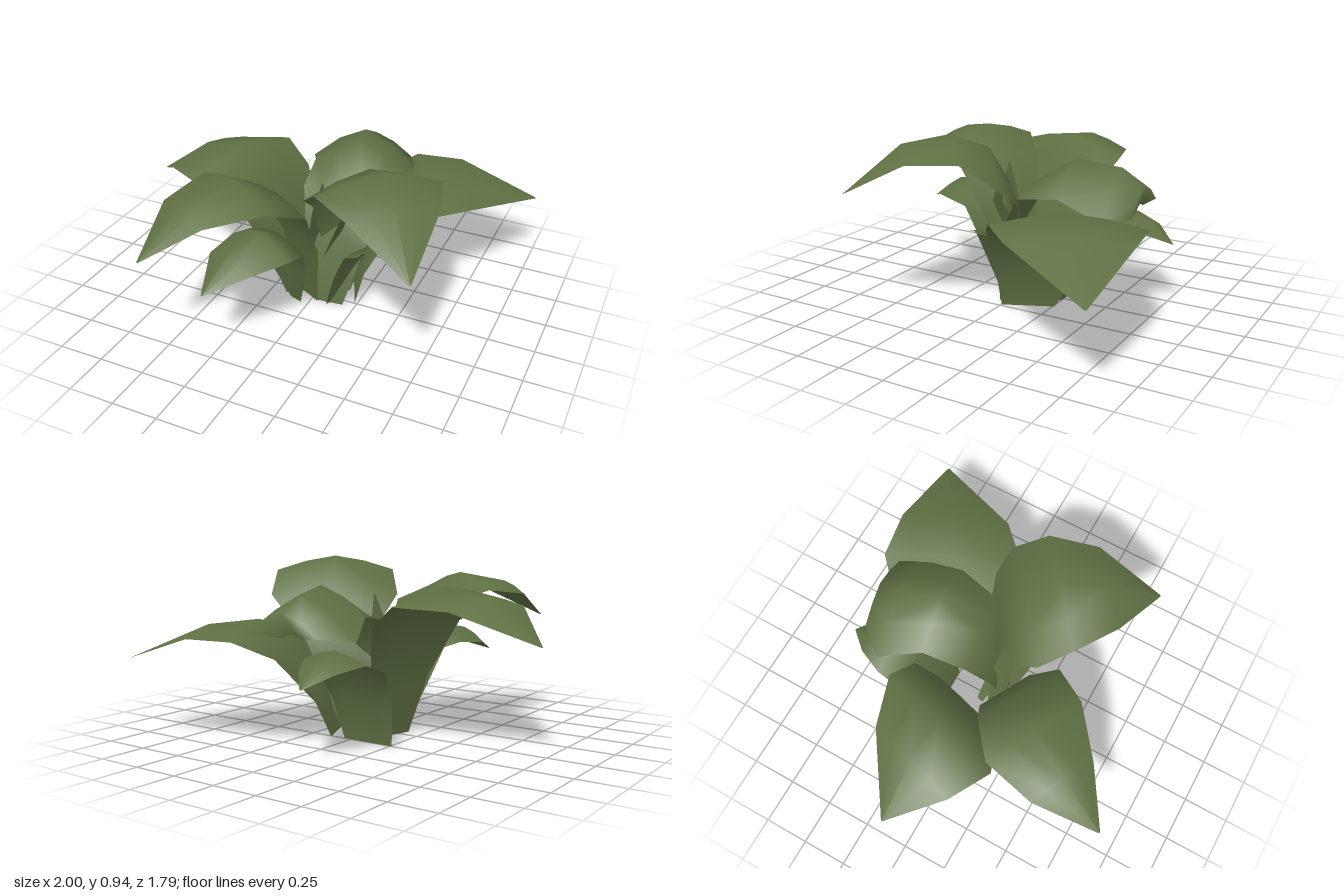
import * as THREE from 'three';

const leafGreen = new THREE.MeshStandardMaterial({ color: 0x5f7144, side: THREE.DoubleSide });
leafGreen.name = 'leafGreen';

// Cross-section of a blade: position across, share of the edge drop
const ACROSS = [[-1, 1], [-0.5, 0.36], [0, 0], [0.5, 0.36], [1, 1]];

// heading: x, z direction the blade points; stations run from ground to tip: [x, y, z, half width, edge drop]
function makeLeaf(name, [hx, hz], stations) {
  const len = Math.hypot(hx, hz);
  const sx = -hz / len, sz = hx / len; // sideways direction
  const pos = [], index = [], n = ACROSS.length;
  stations.forEach(([x, y, z, w, drop], i) => {
    for (const [u, d] of ACROSS) {
      pos.push(x + sx * w * u, Math.max(0, y - drop * d), z + sz * w * u);
    }
    if (i === 0) return;
    for (let j = 0; j < n - 1; j++) {
      const a = (i - 1) * n + j, b = a + 1, c = a + n, e = c + 1;
      index.push(a, b, c, b, e, c);
    }
  });
  const geo = new THREE.BufferGeometry();
  geo.setAttribute('position', new THREE.Float32BufferAttribute(pos, 3));
  geo.setIndex(index);
  geo.computeVertexNormals();
  const mesh = new THREE.Mesh(geo, leafGreen);
  mesh.name = name;
  return mesh;
}

const LEAVES = {
  // Large outer leaves
  backLeftLeaf: [[0.92, -0.4], [
    [0.18, 0, -0.13, 0.14, 0], [0.2, 0.22, -0.2, 0.22, 0.01], [0.27, 0.5, -0.36, 0.37, 0.03],
    [0.43, 0.63, -0.49, 0.385, 0.07], [0.66, 0.6, -0.61, 0.3, 0.04], [1.0, 0.42, -0.86, 0.005, 0],
  ]],
  frontLeftLeaf: [[0.63, 0.78], [
    [0.1, 0, -0.06, 0.08, 0], [0.16, 0.38, -0.09, 0.16, 0], [0.24, 0.68, -0.06, 0.27, 0.05],
    [0.31, 0.87, 0.02, 0.35, 0.14], [0.42, 0.935, 0.17, 0.33, 0.08], [0.57, 0.89, 0.37, 0.235, 0.05],
    [0.75, 0.65, 0.61, 0.005, 0],
  ]],
  frontRightLeaf: [[-0.47, 0.88], [
    [-0.03, 0, 0.03, 0.08, 0], [-0.05, 0.4, 0.1, 0.16, 0], [-0.12, 0.73, 0.22, 0.25, 0.04],
    [-0.28, 0.855, 0.39, 0.285, 0.08], [-0.43, 0.8, 0.63, 0.185, 0.06], [-0.53, 0.59, 0.9, 0.005, 0],
  ]],
  rightLeaf: [[-0.95, -0.27], [
    [-0.12, 0, -0.06, 0.13, 0], [-0.19, 0.32, -0.07, 0.2, 0], [-0.29, 0.64, -0.06, 0.3, 0.03],
    [-0.46, 0.81, -0.05, 0.365, 0.08], [-0.7, 0.775, -0.07, 0.26, 0.06], [-1.0, 0.55, -0.08, 0.005, 0],
  ]],
  backLeaf: [[-0.1, -1], [
    [0.1, 0, 0.05, 0.08, 0], [0.12, 0.38, 0.01, 0.17, 0], [0.1, 0.66, -0.12, 0.22, 0.04],
    [0.1, 0.815, -0.36, 0.26, 0.15], [0.04, 0.78, -0.59, 0.31, 0.21], [0.06, 0.71, -0.72, 0.21, 0.12],
    [0.02, 0.6, -0.68, 0.05, 0.02],
  ]],
  // Lower leaves
  lowerFrontLeaf: [[-0.33, 0.94], [
    [-0.08, 0, 0.1, 0.04, 0], [-0.09, 0.3, 0.2, 0.15, 0.02], [-0.11, 0.52, 0.26, 0.2, 0.06],
    [-0.14, 0.57, 0.37, 0.21, 0.09], [-0.22, 0.53, 0.55, 0.16, 0.07], [-0.27, 0.385, 0.76, 0.005, 0],
  ]],
  lowerBackLeaf: [[0, -1], [
    [-0.11, 0, -0.25, 0.15, 0], [-0.1, 0.22, -0.29, 0.19, 0], [-0.1, 0.44, -0.4, 0.22, 0.03],
    [-0.12, 0.52, -0.54, 0.19, 0.06], [-0.13, 0.47, -0.69, 0.11, 0.04], [-0.13, 0.365, -0.81, 0.005, 0],
  ]],
  // Young shoots in the middle
  innerStrap: [[0.9, 0.4], [
    [0.12, 0, 0.02, 0.06, 0], [0.2, 0.22, 0.05, 0.09, 0], [0.27, 0.4, 0.08, 0.09, 0.01], [0.32, 0.42, 0.12, 0.03, 0.01],
  ]],
  innerShoot: [[0.9, 0.2], [
    [-0.08, 0, 0.02, 0.02, 0], [0.0, 0.35, 0.04, 0.06, 0], [0.04, 0.6, 0.06, 0.05, 0], [0.06, 0.74, 0.05, 0.005, 0],
  ]],
  slenderShoot: [[0.9, 0.2], [
    [-0.05, 0, -0.06, 0.02, 0], [0.1, 0.35, 0.0, 0.05, 0], [0.18, 0.55, 0.05, 0.04, 0], [0.24, 0.7, 0.0, 0.005, 0],
  ]],
};

export function createModel() {
  const plant = new THREE.Group();
  plant.name = 'leafyPlant';
  for (const [name, [heading, stations]] of Object.entries(LEAVES)) {
    plant.add(makeLeaf(name, heading, stations));
  }
  return plant;
}
